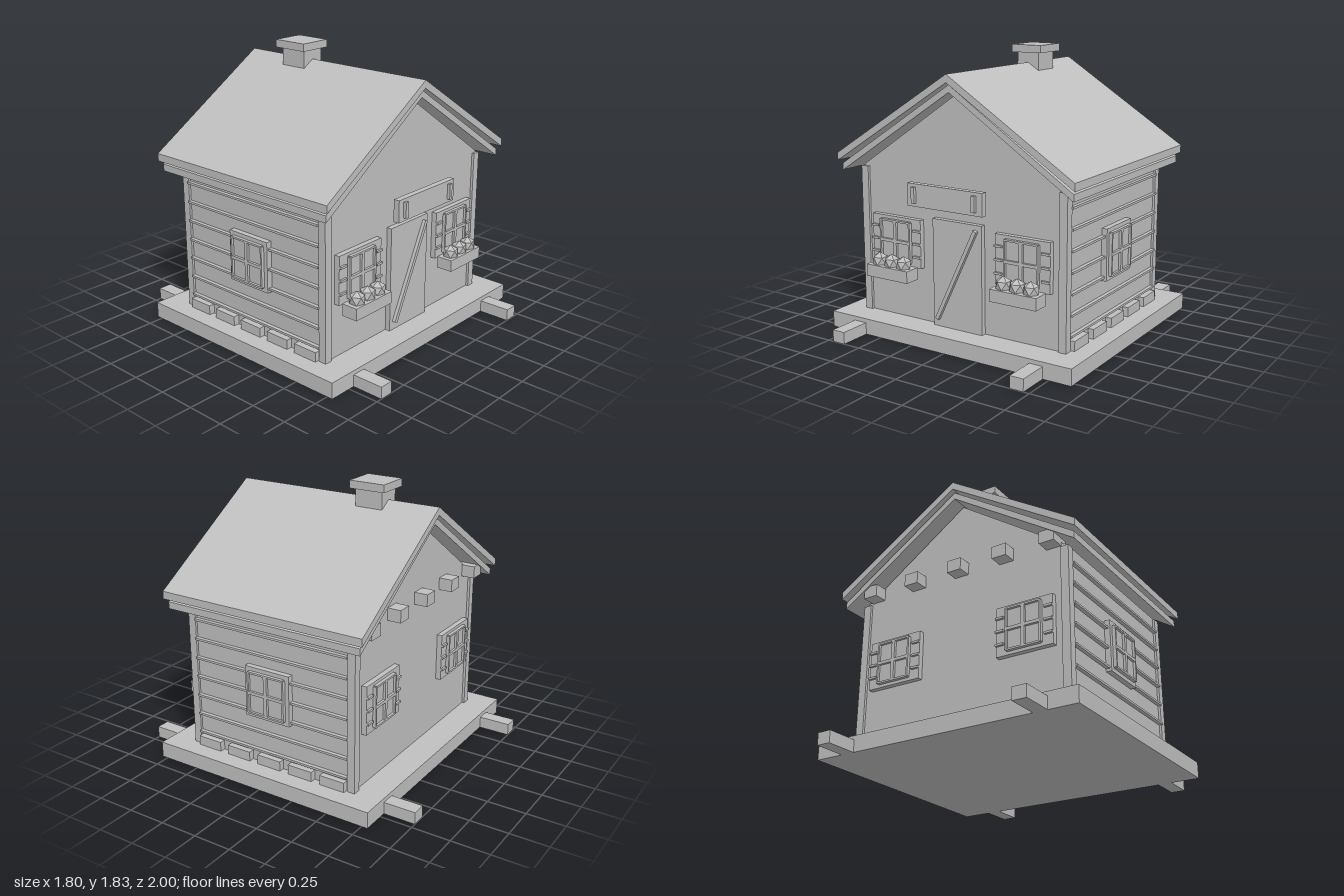
import * as THREE from 'three';

const grey = new THREE.MeshStandardMaterial({ color: 0xbfbfbf, flatShading: true });
grey.name = 'plain grey';

export function createModel() {
  const model = new THREE.Group();
  model.name = 'cabin';

  const add = (parent, name, geometry) => {
    const mesh = new THREE.Mesh(geometry, grey);
    mesh.name = name;
    parent.add(mesh);
    return mesh;
  };
  // Box given by its limits on each axis
  const box = (parent, name, x0, x1, y0, y1, z0, z1) => {
    const mesh = add(parent, name, new THREE.BoxGeometry(x1 - x0, y1 - y0, z1 - z0));
    mesh.position.set((x0 + x1) / 2, (y0 + y1) / 2, (z0 + z1) / 2);
    return mesh;
  };
  // Front outline pushed along z, centred on z = 0
  const slab = (name, points, depth) => {
    const shape = new THREE.Shape(points.map(([x, y]) => new THREE.Vector2(x, y)));
    const geometry = new THREE.ExtrudeGeometry(shape, { depth, bevelEnabled: false });
    geometry.translate(0, 0, -depth / 2);
    return add(model, name, geometry);
  };

  // Base and skids
  box(model, 'base', -0.9, 0.9, 0, 0.105, -0.79, 0.79);
  for (const s of [-1, 1]) {
    box(model, 'skid', s * 0.665 - 0.046, s * 0.665 + 0.046, 0, 0.078, -1, 1);
  }

  // Walls with gables
  slab('walls', [[-0.75, 0.105], [0.75, 0.105], [0.75, 1.08], [0, 1.59], [-0.75, 1.08]], 1.2);

  // Two roof layers
  const roofLayer = (name, half, edgeTop, peakTop, edgeLow, peakLow, depth) =>
    slab(name, [[-half, edgeLow], [0, peakLow], [half, edgeLow], [half, edgeTop], [0, peakTop], [-half, edgeTop]], depth);
  roofLayer('roof', 0.87, 1.16, 1.71, 1.11, 1.66, 1.45);
  roofLayer('roofUnderlayer', 0.85, 1.09, 1.645, 1.045, 1.6, 1.4);

  // Chimney
  box(model, 'chimneyStack', -0.08, 0.08, 1.55, 1.775, -0.375, -0.185);
  box(model, 'chimneyCap', -0.11, 0.11, 1.775, 1.825, -0.405, -0.16);

  // Corner posts, siding strips and foundation stones
  for (const s of [-1, 1]) {
    for (const z of [-0.59, 0.59]) {
      box(model, 'cornerPost', s * 0.738 - 0.027, s * 0.738 + 0.027, 0.105, 1.07, z - 0.027, z + 0.027);
    }
    for (let i = 0; i < 7; i++) {
      const y = 0.195 + i * 0.13;
      box(model, 'sidingStrip', s * 0.76 - 0.015, s * 0.76 + 0.015, y - 0.007, y + 0.007, -0.565, 0.565);
    }
    for (let i = -2; i <= 2; i++) {
      const z = i * 0.235;
      box(model, 'foundationStone', s * 0.765 - 0.025, s * 0.765 + 0.025, 0.107, 0.17, z - 0.087, z + 0.087);
    }
  }

  // Beam ends under the back eave
  for (let i = -2; i <= 2; i++) {
    box(model, 'beamEnd', i * 0.33 - 0.05, i * 0.33 + 0.05, 1.085, 1.165, -0.69, -0.55);
  }

  // Window facing +z with its wall plane at local z = 0
  const makeWindow = (w, h, iw, ih, hinges) => {
    const g = new THREE.Group();
    g.name = 'window';
    box(g, 'windowPanel', -w, w, -h, h, -0.01, 0.03);
    const frame = 0.006;
    box(g, 'windowPane', -iw, iw, -ih, ih, 0, 0.036);
    for (const s of [-1, 1]) {
      box(g, 'sashSide', s * iw - frame, s * iw + frame, -ih, ih, 0, 0.052);
      box(g, 'sashRail', -iw, iw, s * ih - frame, s * ih + frame, 0, 0.052);
      for (const y of hinges ? [-0.085, 0, 0.085] : []) {
        const x = s * (w - 0.027);
        box(g, 'shutterSlat', x - 0.027, x + 0.027, y - 0.007, y + 0.007, 0, 0.045);
      }
    }
    box(g, 'mullion', -0.012, 0.012, -ih, ih, 0, 0.052);
    box(g, 'crossbar', -iw, iw, -0.01, 0.01, 0, 0.052);
    model.add(g);
    return g;
  };
  for (const s of [-1, 1]) {
    makeWindow(0.192, 0.158, 0.115, 0.132, true).position.set(s * 0.473, 0.613, 0.605);
    const back = makeWindow(0.192, 0.158, 0.115, 0.132, true);
    back.position.set(s * 0.473, 0.613, -0.605);
    back.rotation.y = Math.PI;
    const side = makeWindow(0.163, 0.167, 0.13, 0.135, false);
    side.position.set(s * 0.757, 0.597, 0);
    side.rotation.y = s * Math.PI / 2;

    // Flower box with three faceted blooms
    box(model, 'flowerBox', s * 0.473 - 0.163, s * 0.473 + 0.163, 0.382, 0.46, 0.635, 0.745);
    for (let i = -1; i <= 1; i++) {
      const flower = add(model, 'flower', new THREE.IcosahedronGeometry(0.054, 0).rotateZ(0.5536));
      flower.position.set(s * 0.473 + i * 0.096, 0.484, 0.69);
    }
  }

  // Door with diagonal brace
  box(model, 'door', -0.183, 0.183, 0.105, 0.8, 0.58, 0.635);
  const brace = add(model, 'doorBrace', new THREE.BoxGeometry(0.025, 0.675, 0.03));
  brace.position.set(0, 0.462, 0.643);
  brace.rotation.z = -Math.atan2(0.29, 0.6);

  // Blank signboard with two battens
  box(model, 'signboard', -0.277, 0.277, 0.895, 1.038, 0.722, 0.762);
  for (const s of [-1, 1]) {
    box(model, 'signBatten', s * 0.222 - 0.012, s * 0.222 + 0.012, 0.918, 1.018, 0.75, 0.782);
  }

  return model;
}
